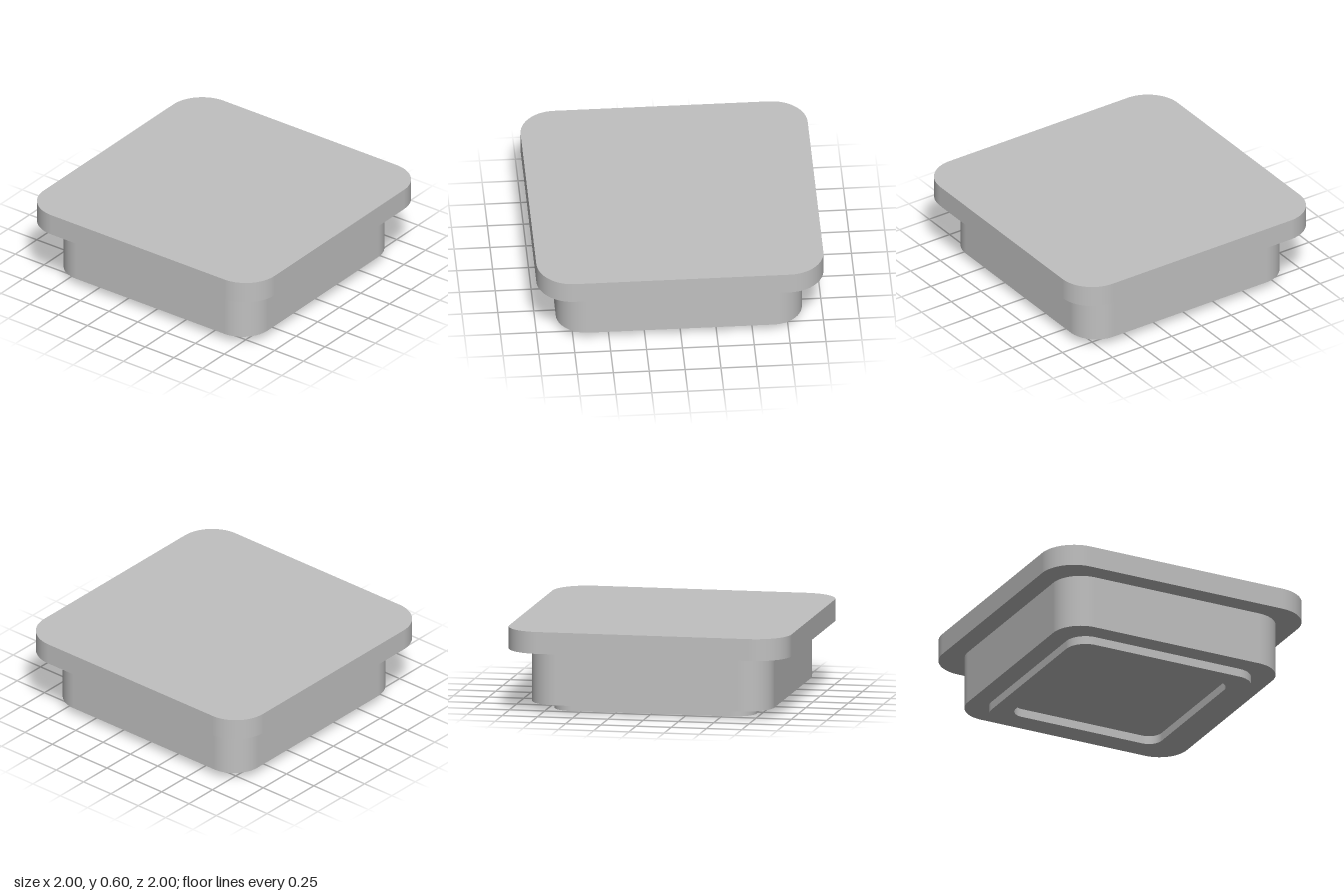
import * as THREE from 'three';

// Rounded square outline of half-width h and corner radius r
function roundedSquare(PathType, h, r) {
  const p = new PathType();
  const c = h - r;
  p.moveTo(c, -h);
  p.absarc(c, -c, r, -Math.PI / 2, 0, false);
  p.absarc(c, c, r, 0, Math.PI / 2, false);
  p.absarc(-c, c, r, Math.PI / 2, Math.PI, false);
  p.absarc(-c, -c, r, Math.PI, Math.PI * 1.5, false);
  p.closePath();
  return p;
}

// Smooth normals around the vertical corners, flat on the walls
function smoothCorners(geometry, h, r) {
  const pos = geometry.attributes.position;
  const nor = geometry.attributes.normal;
  const c = h - r;
  const v = new THREE.Vector3();
  for (let i = 0; i < pos.count; i++) {
    if (Math.abs(nor.getY(i)) > 0.5) continue;
    const x = pos.getX(i), z = pos.getZ(i);
    if (Math.max(Math.abs(x), Math.abs(z)) < h - r - 1e-4) continue;
    v.set(Math.sign(x) * Math.max(Math.abs(x) - c, 0), 0, Math.sign(z) * Math.max(Math.abs(z) - c, 0)).normalize();
    // inner walls face the opposite way
    if (v.x * nor.getX(i) + v.z * nor.getZ(i) < 0) continue;
    nor.setXYZ(i, v.x, 0, v.z);
  }
}

export function createModel() {
  const group = new THREE.Group();
  const grey = new THREE.MeshStandardMaterial({ color: 0xc0c0c0 });
  grey.name = 'plain grey';

  function addTier(name, h, r, bottom, top, hole) {
    const shape = roundedSquare(THREE.Shape, h, r);
    if (hole) shape.holes.push(roundedSquare(THREE.Path, hole.h, hole.r));
    const geometry = new THREE.ExtrudeGeometry(shape, { depth: top - bottom, bevelEnabled: false, curveSegments: 16 });
    geometry.rotateX(-Math.PI / 2);
    geometry.translate(0, bottom, 0);
    smoothCorners(geometry, h, r);
    const mesh = new THREE.Mesh(geometry, grey);
    mesh.name = name;
    group.add(mesh);
  }

  // Wide cap, narrower body, and a raised foot ring around a shallow recess
  addTier('topSlab', 1, 0.25, 0.443, 0.597);
  addTier('body', 0.857, 0.214, 0.06, 0.443);
  addTier('footRing', 0.714, 0.15, 0, 0.06, { h: 0.571, r: 0.1 });

  return group;
}
